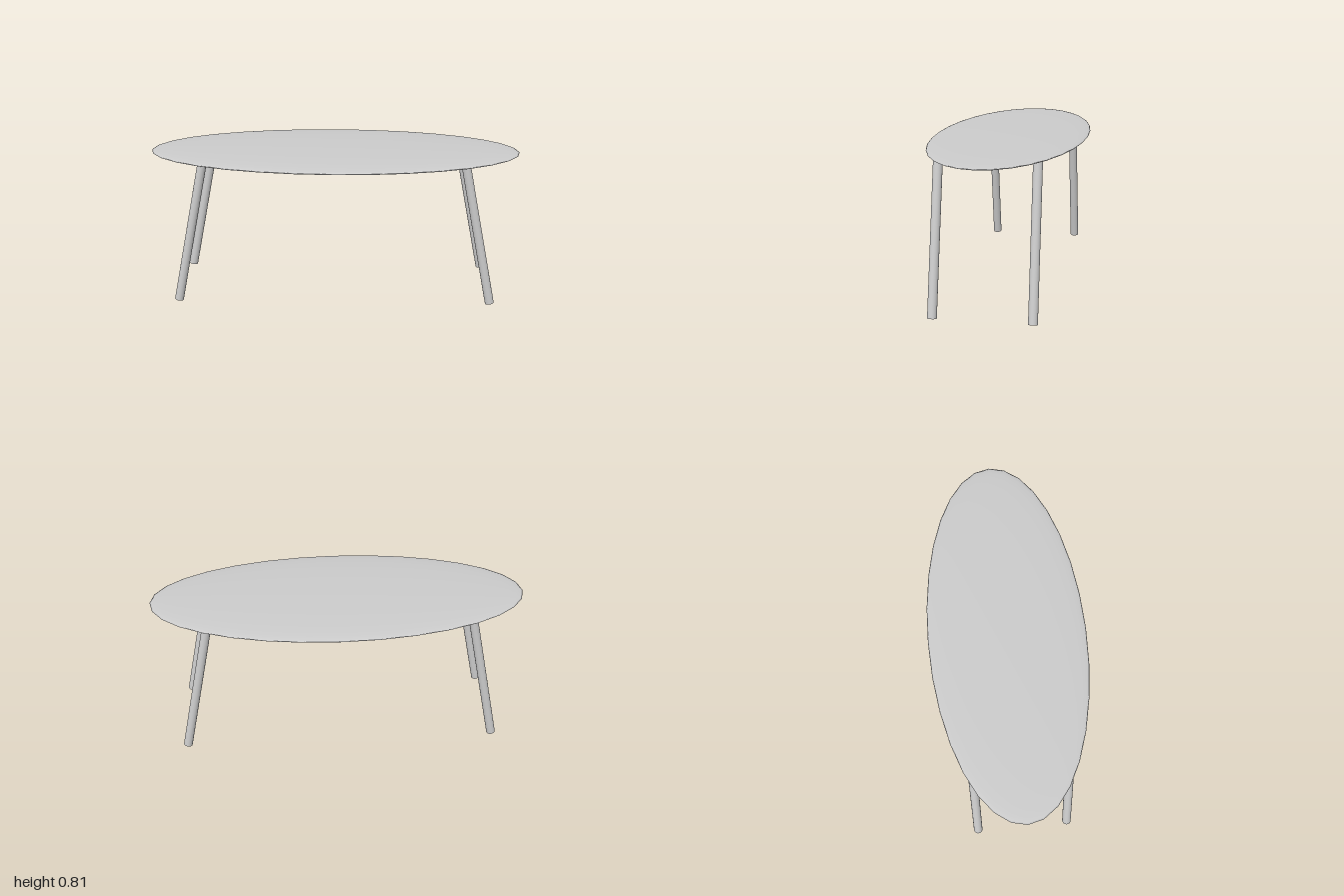
import * as THREE from 'three';

const material = new THREE.MeshStandardMaterial({ color: 0xcccccc });

// Round leg running between two points
function makeLeg(name, top, foot, radius) {
  const axis = top.clone().sub(foot);
  const leg = new THREE.Mesh(new THREE.CylinderGeometry(radius, radius, axis.length(), 24), material);
  leg.name = name;
  leg.position.copy(top).add(foot).multiplyScalar(0.5);
  leg.quaternion.setFromUnitVectors(new THREE.Vector3(0, 1, 0), axis.normalize());
  return leg;
}

export function createModel() {
  const table = new THREE.Group();
  table.name = 'ovalTable';

  // Thin lens-shaped oval top
  const topGeometry = new THREE.SphereGeometry(1, 32, 24);
  topGeometry.scale(1, 0.024, 0.415);
  const tableTop = new THREE.Mesh(topGeometry, material);
  tableTop.name = 'tableTop';
  tableTop.position.y = 0.787;
  table.add(tableTop);

  // Four legs splayed outwards along the length
  for (const [side, sx] of [['Left', 1], ['Right', -1]]) {
    for (const [end, sz] of [['front', 1], ['back', -1]]) {
      const top = new THREE.Vector3(sx * 0.691, 0.78, sz * 0.247);
      const foot = new THREE.Vector3(sx * 0.85, 0.005, sz * 0.251);
      table.add(makeLeg(`${end}${side}Leg`, top, foot, 0.024));
    }
  }
  return table;
}
